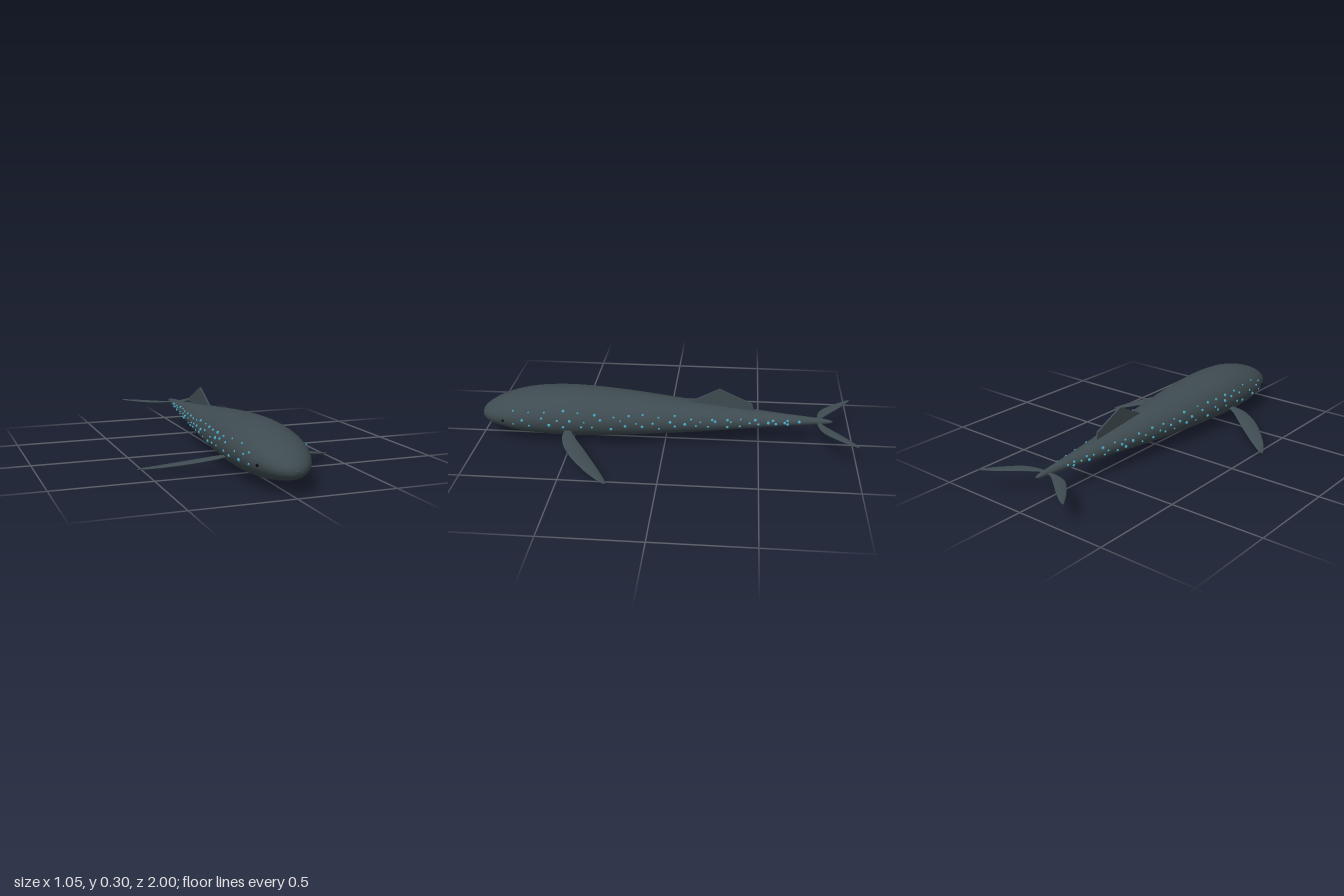
import * as THREE from 'three';

const UP = new THREE.Vector3(0, 1, 0);

// Smooth loft sampler: stations are [x, y, z, halfWidth, halfHeight]
function makeLoft(stations) {
  const path = new THREE.CatmullRomCurve3(stations.map(s => new THREE.Vector3(s[0], s[1], s[2])), false, 'catmullrom');
  const size = new THREE.CatmullRomCurve3(stations.map(s => new THREE.Vector3(s[3], s[4], 0)), false, 'catmullrom');
  const point = (t, angle) => {
    const centre = path.getPoint(t);
    const across = UP.clone().cross(path.getTangent(t)).normalize();
    const s = size.getPoint(t);
    return centre
      .addScaledVector(across, Math.max(s.x, 0) * Math.cos(angle))
      .addScaledVector(UP, Math.max(s.y, 0) * Math.sin(angle));
  };
  const geometry = (rings, sides) => {
    const positions = [], index = [];
    for (let i = 0; i <= rings; i++) {
      for (let j = 0; j < sides; j++) {
        positions.push(...point(i / rings, (j / sides) * Math.PI * 2).toArray());
        if (i === rings) continue;
        const a = i * sides + j, b = i * sides + (j + 1) % sides;
        index.push(a, b, a + sides, b, b + sides, a + sides);
      }
    }
    const g = new THREE.BufferGeometry();
    g.setAttribute('position', new THREE.Float32BufferAttribute(positions, 3));
    g.setIndex(index);
    g.computeVertexNormals();
    return g;
  };
  return { path, point, geometry };
}

function seeded(seed) {
  return () => {
    seed = (seed * 16807) % 2147483647;
    return seed / 2147483647;
  };
}

export function createModel() {
  const model = new THREE.Group();
  model.name = 'whale';

  const material = (name, color) => {
    const m = new THREE.MeshStandardMaterial({ color });
    m.name = name;
    return m;
  };
  const skin = material('slate skin', 0x3e4b50);
  const glow = material('teal spots', 0x48a6c0);
  const dark = material('eye black', 0x0c1012);

  const add = (name, geometry, mat, parent = model) => {
    const mesh = new THREE.Mesh(geometry, mat);
    mesh.name = name;
    parent.add(mesh);
    return mesh;
  };

  // Body, tail to nose
  const body = makeLoft([
    [0, 0.138, -0.89, 0, 0],
    [0, 0.138, -0.87, 0.011, 0.009],
    [0, 0.139, -0.80, 0.019, 0.018],
    [0, 0.139, -0.60, 0.045, 0.035],
    [0, 0.140, -0.40, 0.073, 0.055],
    [0, 0.142, -0.20, 0.101, 0.076],
    [0, 0.145, 0.00, 0.129, 0.095],
    [0, 0.149, 0.20, 0.151, 0.113],
    [0, 0.152, 0.40, 0.167, 0.125],
    [0, 0.152, 0.55, 0.171, 0.128],
    [0, 0.150, 0.69, 0.165, 0.120],
    [0, 0.145, 0.80, 0.150, 0.103],
    [0, 0.138, 0.89, 0.120, 0.079],
    [0, 0.130, 0.95, 0.085, 0.055],
    [0, 0.125, 0.987, 0.044, 0.029],
    [0, 0.122, 1.00, 0, 0],
  ]);
  add('body', body.geometry(90, 40), skin);

  // Parameter along the body for a given z
  const bodyAt = z => {
    let lo = 0, hi = 1;
    for (let i = 0; i < 30; i++) {
      const mid = (lo + hi) / 2;
      if (body.path.getPoint(mid).z < z) lo = mid; else hi = mid;
    }
    return lo;
  };

  // Dorsal fin
  const dorsalShape = new THREE.Shape();
  [[0.11, 0.215], [0.285, 0.305], [0.46, 0.225], [0.475, 0.165], [0.3, 0.17]]
    .forEach(([x, y], i) => (i ? dorsalShape.lineTo(x, y) : dorsalShape.moveTo(x, y)));
  dorsalShape.closePath();
  const dorsal = new THREE.ExtrudeGeometry(dorsalShape, { depth: 0.01, bevelEnabled: false });
  dorsal.translate(0, 0, -0.005);
  dorsal.rotateY(Math.PI / 2);
  add('dorsalFin', dorsal, skin);

  const spotShape = new THREE.SphereGeometry(1, 10, 8);

  for (const side of [1, -1]) {
    const label = side > 0 ? 'left' : 'right';
    const mirrored = rows => rows.map(([x, ...rest]) => [x * side, ...rest]);

    // Swept flippers
    add(label + 'Flipper', makeLoft(mirrored([
      [0.13, 0.100, 0.512, 0.012, 0.006],
      [0.22, 0.085, 0.490, 0.036, 0.008],
      [0.32, 0.060, 0.430, 0.046, 0.008],
      [0.43, 0.029, 0.340, 0.035, 0.006],
      [0.50, 0.009, 0.275, 0.016, 0.004],
      [0.523, 0.003, 0.255, 0, 0],
    ])).geometry(32, 20), skin);

    // Tail flukes
    add(label + 'Fluke', makeLoft(mirrored([
      [0.00, 0.138, -0.815, 0.006, 0.003],
      [0.05, 0.138, -0.822, 0.016, 0.004],
      [0.12, 0.138, -0.856, 0.029, 0.005],
      [0.20, 0.138, -0.925, 0.024, 0.004],
      [0.26, 0.138, -0.980, 0.011, 0.003],
      [0.285, 0.138, -1.00, 0, 0],
    ])).geometry(32, 16), skin);

    // Eye
    const eye = add(label + 'Eye', spotShape, dark);
    eye.scale.setScalar(0.008);
    eye.position.copy(body.point(bodyAt(0.86), side > 0 ? -0.1 : Math.PI + 0.1));

    // Glowing spots scattered in three rows along the flank
    const spots = new THREE.Group();
    spots.name = label + 'Spots';
    model.add(spots);
    const random = seeded(side > 0 ? 421 : 977);
    for (let row = 0; row < 3; row++) {
      for (let k = 0; k < 18; k++) {
        const z = 0.8 - (k + (row % 2) * 0.5 + random() * 0.4) * 0.085;
        const angle = (row - 1) * 0.3 + 0.1 + (random() - 0.5) * 0.2;
        const spot = add('spot', spotShape, glow, spots);
        spot.position.copy(body.point(bodyAt(z), side > 0 ? angle : Math.PI - angle));
        spot.scale.setScalar(0.005 + random() * 0.004);
      }
    }
  }
  return model;
}
